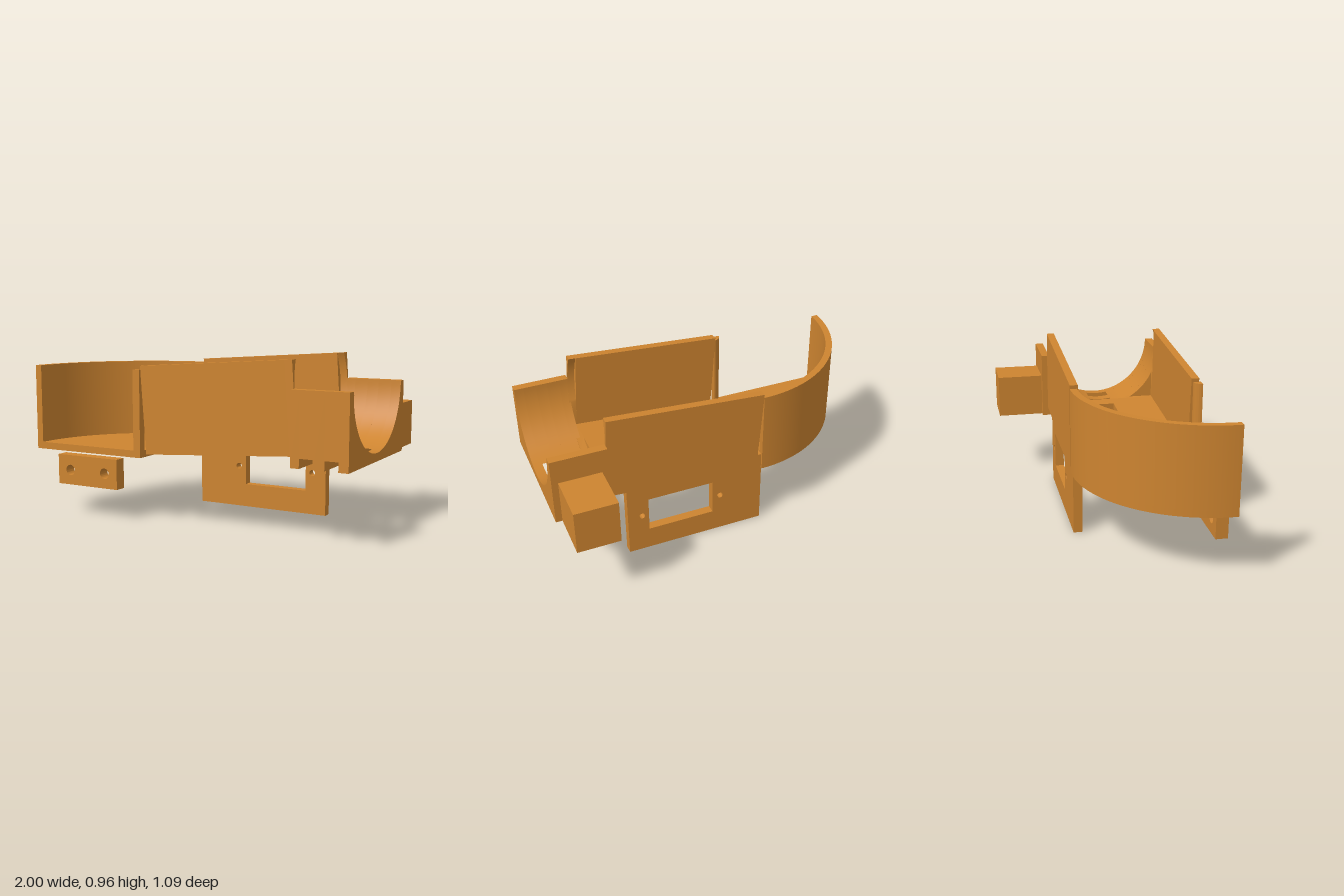
import * as THREE from 'three';
import { toCreasedNormals } from 'three/addons/utils/BufferGeometryUtils.js';

const plastic = new THREE.MeshStandardMaterial({ color: 0xcd8430 });
plastic.name = 'orange plastic';

const MID_Z = 0.14; // centre line of channel and cradle
const PI = Math.PI;

function addMesh(parent, name, geometry) {
  const mesh = new THREE.Mesh(geometry, plastic);
  mesh.name = name;
  parent.add(mesh);
  return mesh;
}

function addBox(parent, name, x0, x1, y0, y1, z0, z1) {
  const g = new THREE.BoxGeometry(x1 - x0, y1 - y0, z1 - z0);
  g.translate((x0 + x1) / 2, (y0 + y1) / 2, (z0 + z1) / 2);
  return addMesh(parent, name, g);
}

const extrude = (shape, depth) =>
  toCreasedNormals(new THREE.ExtrudeGeometry(shape, { depth, bevelEnabled: false, curveSegments: 32 }), 0.5);

// plan outline (x, z) raised from y0 to y1
const plan = (shape, y0, y1) => extrude(shape, y1 - y0).rotateX(PI / 2).translate(0, y1, 0);
// cross-section (side, y) run along x, centred on the channel line
const alongX = (shape, x0, x1) => extrude(shape, x1 - x0).rotateY(PI / 2).translate(x0, 0, MID_Z);

const polygon = (points) => new THREE.Shape(points.map(([x, y]) => new THREE.Vector2(x, y)));
const rect = (x0, x1, y0, y1) => polygon([[x0, y0], [x1, y0], [x1, y1], [x0, y1]]);
const circle = (x, y, r) => new THREE.Path().absarc(x, y, r, 0, PI * 2);

// points on the right half of a circle centred at (0, cy), between two heights
function arcPoints(cy, r, yStart, yEnd, n = 20) {
  const a0 = Math.asin((yStart - cy) / r), a1 = Math.asin((yEnd - cy) / r);
  return Array.from({ length: n + 1 }, (_, i) => {
    const a = a0 + (a1 - a0) * i / n;
    return [r * Math.cos(a), cy + r * Math.sin(a)];
  });
}
const mirror = (points) => points.map(([x, y]) => [-x, y]).reverse();

// Quarter-round tray with a curved wall and a small corner post
function buildTray() {
  const tray = new THREE.Group();
  tray.name = 'tray';
  const floor = new THREE.Shape();
  floor.moveTo(-1, 0.52);
  floor.absellipse(-0.26, 0.52, 0.74, 0.75, PI, PI * 1.5, false);
  for (const [x, z] of [[-0.26, 0.085], [-0.27, 0.085], [-0.27, 0.19], [-0.26, 0.19], [-0.26, 0.52]]) floor.lineTo(x, z);
  addMesh(tray, 'trayFloor', plan(floor, 0.377, 0.417));

  const wall = new THREE.Shape();
  wall.moveTo(-1, 0.52);
  wall.absellipse(-0.26, 0.52, 0.74, 0.75, PI, PI * 1.5, false);
  wall.lineTo(-0.26, -0.19);
  wall.absellipse(-0.26, 0.52, 0.7, 0.71, PI * 1.5, PI, true);
  addMesh(tray, 'trayWall', plan(wall, 0.417, 0.875));

  const post = new THREE.Shape();
  post.moveTo(-0.26, 0.52);
  post.lineTo(-0.305, 0.52);
  post.absarc(-0.26, 0.52, 0.045, PI, PI * 1.5, false);
  addMesh(tray, 'trayPost', plan(post, 0.417, 0.875));
  return tray;
}

// Slightly tilted U-shaped channel, its far end cut away by the cradle bore
function buildChannel() {
  const channel = new THREE.Group();
  channel.name = 'channel';
  const cut = 0.89, end = 0.932, high = 0.497, half = 0.37, inner = 0.325;

  const floor = polygon([
    [0, MID_Z - inner], [cut, MID_Z - inner], [cut, MID_Z + inner], [0, MID_Z + inner],
    [0, 0.19], [0.165, 0.19], [0.165, 0.085], [0, 0.085],
  ]);
  floor.holes.push(rect(0.593, 0.805, 0.085, 0.19));
  addMesh(channel, 'channelFloor', plan(floor, 0, 0.04));
  addBox(channel, 'channelFrontWall', 0, cut, 0, high, MID_Z + inner, MID_Z + half);
  addBox(channel, 'channelBackWall', 0, cut, 0, high, MID_Z - half, MID_Z - inner);

  const lip = [
    [0.07, 0], [half, 0], [half, high],
    ...arcPoints(0.35, 0.357, high, 0.203),
    [inner, 0.04], [0.177, 0.04],
  ];
  addMesh(channel, 'channelEnd', alongX(polygon(lip), cut, end));
  addMesh(channel, 'channelEnd', alongX(polygon(mirror(lip)), cut, end));

  channel.position.set(-0.225, 0.4, 0);
  channel.rotation.z = 0.07;
  return channel;
}

// Half-round cradle with two slots running across its underside
function buildCradle() {
  const cradle = new THREE.Group();
  cradle.name = 'cradle';
  const top = 0.813, base = 0.41, slotTop = 0.4625, r = 0.357, half = 0.405;

  const rightArc = arcPoints(top, r, top, top - r);
  const full = polygon([
    [-half, base], [half, base], [half, top],
    ...rightArc, ...mirror(rightArc).slice(1), [-half, top],
  ]);
  for (const [x0, x1] of [[0.68, 0.73], [0.805, 0.87], [0.945, 1]])
    addMesh(cradle, 'cradleRib', alongX(full, x0, x1));

  const side = [[half, slotTop], [half, top], ...arcPoints(top, r, top, slotTop)];
  for (const [x0, x1] of [[0.73, 0.805], [0.87, 0.945]])
    for (const points of [side, mirror(side)])
      addMesh(cradle, 'cradleSlotSide', alongX(polygon(points), x0, x1));

  addBox(cradle, 'cradleBlock', 0.718, 0.963, base, 0.67, -0.545, -0.265);
  return cradle;
}

export function createModel() {
  const model = new THREE.Group();
  model.name = 'mountedTray';
  model.add(buildTray(), buildChannel(), buildCradle());

  // Hanging plate with a window and two screw holes
  const plate = rect(-0.262, 0.578, 0, 0.475);
  plate.holes.push(rect(0.05, 0.45, 0.138, 0.357), circle(0.003, 0.248, 0.018), circle(0.492, 0.248, 0.018));
  addMesh(model, 'mountingPlate', extrude(plate, 0.053).translate(0, 0, -0.218));

  // Loose bracket with two holes
  const bracket = rect(-0.843, -0.423, 0.178, 0.354);
  bracket.holes.push(circle(-0.756, 0.265, 0.031), circle(-0.51, 0.265, 0.031));
  addMesh(model, 'bracket', extrude(bracket, 0.07).translate(0, 0, 0.452));
  return model;
}
